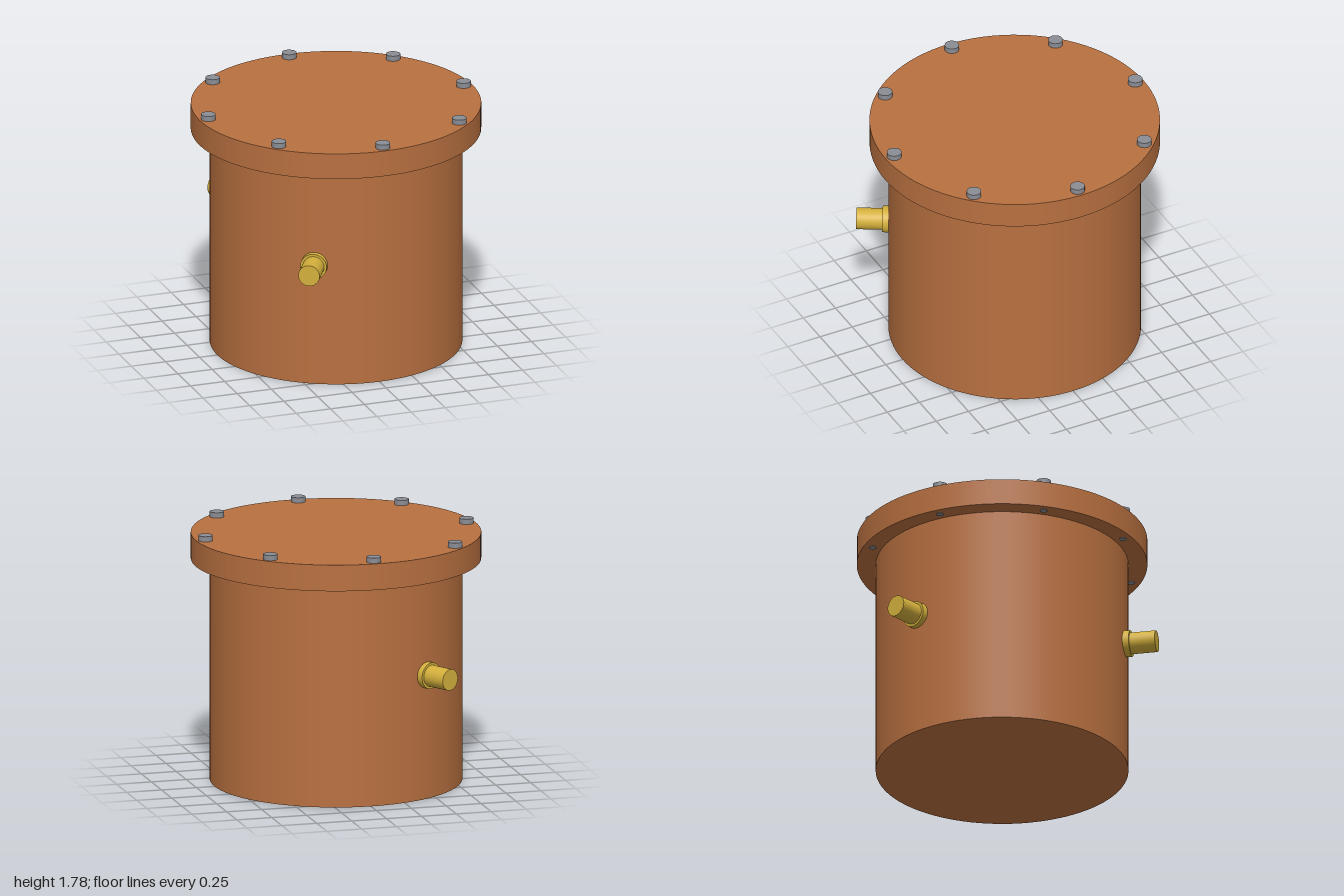
import * as THREE from 'three';

const copper = new THREE.MeshStandardMaterial({ color: 0xb87040 });
const brass = new THREE.MeshStandardMaterial({ color: 0xd4b03c });
const steel = new THREE.MeshStandardMaterial({ color: 0x8a8d94 });

// Upright cylinder spanning y0..y1
function cylinder(name, radius, y0, y1, material, sides = 32) {
  const geometry = new THREE.CylinderGeometry(radius, radius, y1 - y0, sides);
  geometry.translate(0, (y0 + y1) / 2, 0);
  const mesh = new THREE.Mesh(geometry, material);
  mesh.name = name;
  return mesh;
}

export function createModel() {
  const model = new THREE.Group();
  model.name = 'vessel';

  // Vessel body, its flange and the bolted lid
  model.add(cylinder('body', 0.87, 0, 1.6, copper, 96));
  model.add(cylinder('flange', 1, 1.56, 1.67, copper, 96));
  model.add(cylinder('lid', 1, 1.67, 1.745, copper, 96));

  // Eight bolts around the lid, shanks reaching through the flange
  for (let i = 0; i < 8; i++) {
    const angle = (i * Math.PI) / 4;
    const bolt = new THREE.Group();
    bolt.name = 'bolt';
    bolt.add(cylinder('boltHead', 0.05, 1.745, 1.782, steel));
    bolt.add(cylinder('boltShank', 0.025, 1.555, 1.745, steel, 20));
    bolt.position.set(0.935 * Math.cos(angle), 0, 0.935 * Math.sin(angle));
    model.add(bolt);
  }

  // Two radial ports with collars, mirrored front and back
  for (const side of [1, -1]) {
    const port = new THREE.Group();
    port.name = side > 0 ? 'frontPort' : 'backPort';
    port.add(cylinder('portCollar', 0.092, 0.84, 0.91, brass));
    port.add(cylinder('portTube', 0.075, 0.8, 1.09, brass));
    port.position.y = 0.875;
    const outward = new THREE.Vector3(-0.5, 0, side * Math.sqrt(0.75));
    port.quaternion.setFromUnitVectors(new THREE.Vector3(0, 1, 0), outward);
    model.add(port);
  }

  return model;
}
